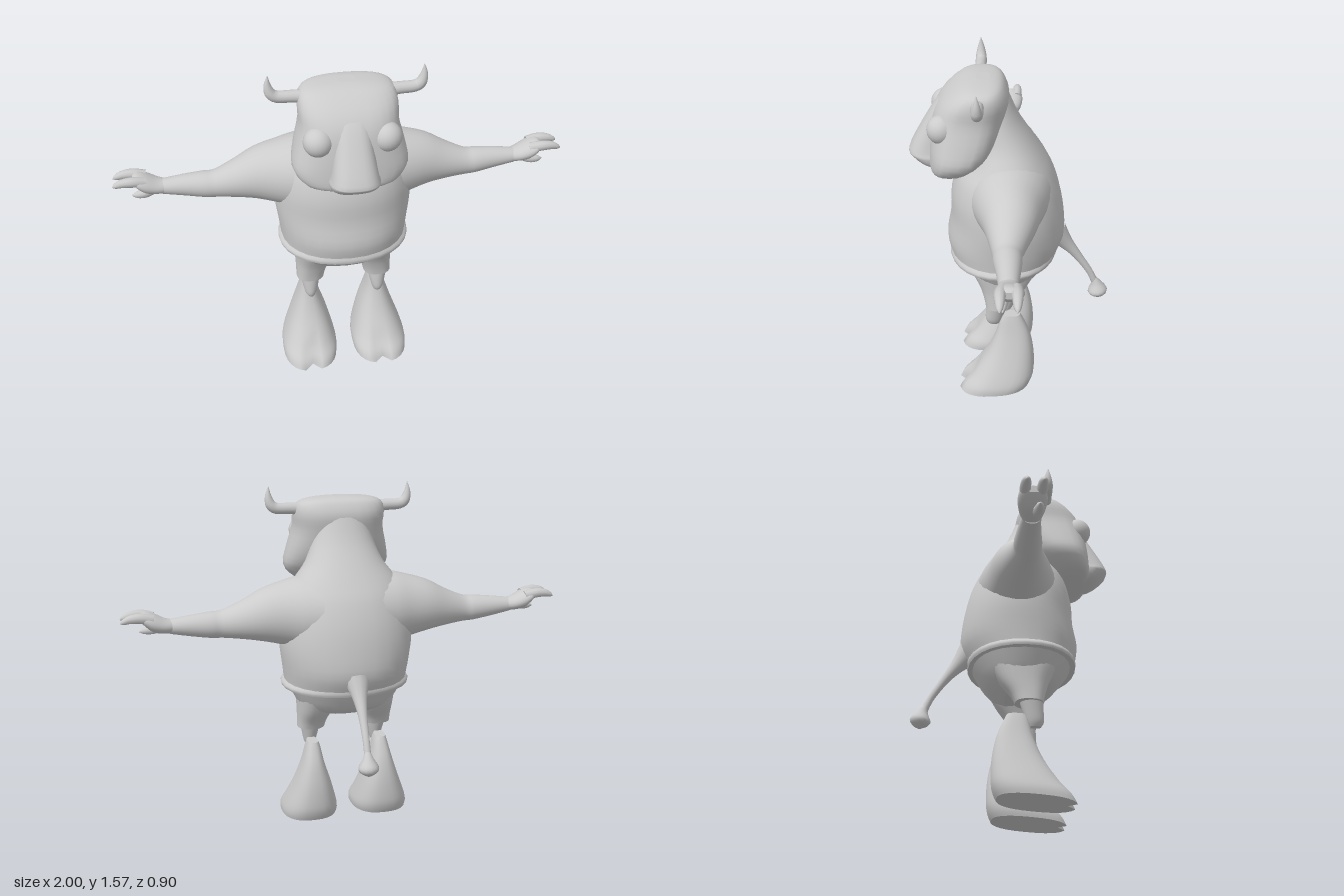
import * as THREE from 'three';

const material = new THREE.MeshStandardMaterial({ color: 0xcccccc, side: THREE.DoubleSide });
const SIDES = 28;

// Skin a stack of closed rings and close both ends with flat caps.
function skin(rings) {
  const pos = [], index = [], n = rings[0].length;
  const add = (p) => pos.push(p.x, p.y, p.z);
  rings.forEach((ring) => ring.forEach(add));
  for (let i = 0; i < rings.length - 1; i++) {
    for (let j = 0; j < n; j++) {
      const k = (j + 1) % n, a = i * n, b = a + n;
      index.push(a + j, b + j, b + k, a + j, b + k, a + k);
    }
  }
  [rings[0], rings[rings.length - 1]].forEach((ring, end) => {
    const start = pos.length / 3;
    ring.forEach(add);
    add(ring.reduce((s, p) => s.add(p), new THREE.Vector3()).divideScalar(n));
    for (let j = 0; j < n; j++) {
      const a = start + j, b = start + (j + 1) % n;
      if (end) index.push(start + n, b, a); else index.push(start + n, a, b);
    }
  });
  const g = new THREE.BufferGeometry();
  g.setAttribute('position', new THREE.Float32BufferAttribute(pos, 3));
  g.setIndex(index);
  g.computeVertexNormals();
  return g;
}

// Smoothly interpolate rows of numbers.
function refine(rows, steps) {
  const out = [];
  const at = (i) => rows[Math.max(0, Math.min(rows.length - 1, i))];
  for (let i = 0; i < rows.length - 1; i++) {
    for (let s = 0; s < steps; s++) {
      const t = s / steps;
      out.push(rows[i].map((b, c) => {
        const a = at(i - 1)[c], d = at(i + 1)[c], e = at(i + 2)[c];
        return b + 0.5 * t * (d - a + t * (2 * a - 5 * b + 4 * d - e + t * (3 * (b - d) + e - a)));
      }));
    }
  }
  out.push(rows[rows.length - 1]);
  return out;
}

// Rows are [height, min, max, zMin, zMax]; along 'y' min/max are x, along 'x' they are y.
function loft(rows, { axis = 'y', power = 2, steps = 3, shape = (p) => p } = {}) {
  const round = (v) => Math.sign(v) * Math.abs(v) ** (2 / power);
  return skin(refine(rows, steps).map(([h, a0, a1, z0, z1]) =>
    Array.from({ length: SIDES }, (_, j) => {
      const t = j / SIDES * Math.PI * 2, c = round(Math.cos(t)), s = round(Math.sin(t));
      const mid = (a0 + a1) / 2, half = (a1 - a0) / 2, zm = (z0 + z1) / 2, zh = (z1 - z0) / 2;
      return shape(axis === 'y'
        ? new THREE.Vector3(mid + half * c, h, zm + zh * s)
        : new THREE.Vector3(h, mid + half * s, zm + zh * c), t);
    })));
}

// Tube through rows of [x, y, z, radius].
function taper(rows, sides = 12, steps = 4) {
  const fine = refine(rows, steps);
  const curve = new THREE.CatmullRomCurve3(fine.map(([x, y, z]) => new THREE.Vector3(x, y, z)));
  const N = fine.length - 1;
  const frames = curve.computeFrenetFrames(N);
  const radii = refine(rows.map((r) => [r[3]]), steps);
  const lengths = curve.getLengths(N * 10);
  return skin(fine.map(([x, y, z], i) => {
    const u = lengths[i * 10] / lengths[N * 10];
    const k = Math.min(N, Math.round(u * N));
    return Array.from({ length: sides }, (_, j) => {
      const t = j / sides * Math.PI * 2;
      return new THREE.Vector3(x, y, z)
        .addScaledVector(frames.binormals[k], radii[i][0] * Math.cos(t))
        .addScaledVector(frames.normals[k], radii[i][0] * Math.sin(t));
    });
  }));
}

export function createModel() {
  const root = new THREE.Group();
  root.name = 'hornedCreature';
  const add = (name, geometry, parent = root) => {
    const mesh = new THREE.Mesh(geometry, material);
    mesh.name = name;
    parent.add(mesh);
    return mesh;
  };
  const sym = (rows) => rows.map(([y, x, z0, z1]) => [y, -x, x, z0, z1]);

  // Shirted torso rising into a hunched neck
  add('torso', loft(sym([
    [0.685, 0.288, -0.19, 0.287], [0.70, 0.283, -0.197, 0.287], [0.78, 0.292, -0.23, 0.302],
    [0.89, 0.305, -0.225, 0.283], [1.0, 0.30, -0.205, 0.278], [1.1, 0.275, -0.17, 0.25],
    [1.17, 0.235, -0.13, 0.20], [1.25, 0.175, -0.08, 0.18], [1.35, 0.135, -0.02, 0.19],
    [1.47, 0.10, 0.03, 0.16],
  ]), { power: 2.15 }));
  // Flared shirt hem
  add('shirtHem', loft(sym([
    [0.68, 0.294, -0.195, 0.292], [0.695, 0.297, -0.20, 0.294], [0.715, 0.28, -0.2, 0.288],
  ]), { power: 2.15 }));
  // Seat of the shorts
  add('shortsSeat', loft(sym([
    [0.54, 0.13, -0.03, 0.11], [0.56, 0.19, -0.07, 0.15], [0.60, 0.225, -0.125, 0.205],
    [0.69, 0.272, -0.18, 0.275],
  ]), { power: 2.2 }));

  // Head
  add('head', loft(sym([
    [1.122, 0.13, 0.22, 0.34], [1.14, 0.195, 0.18, 0.365], [1.20, 0.243, 0.11, 0.365],
    [1.28, 0.232, 0.06, 0.36], [1.38, 0.207, 0.03, 0.345], [1.45, 0.207, 0.02, 0.305],
    [1.50, 0.19, 0.04, 0.245], [1.52, 0.13, 0.065, 0.20], [1.527, 0.04, 0.10, 0.16],
  ]), { power: 2.6 }));
  // Long muzzle ridge
  add('muzzle', loft(sym([
    [1.122, 0.06, 0.26, 0.345], [1.14, 0.095, 0.25, 0.40], [1.18, 0.107, 0.25, 0.447],
    [1.21, 0.098, 0.25, 0.453], [1.33, 0.08, 0.22, 0.388], [1.42, 0.07, 0.20, 0.33],
    [1.47, 0.05, 0.18, 0.275],
  ]), { power: 2.7 }));
  // Tail with a tuft
  add('tail', taper([
    [0, 0.76, -0.19, 0.06], [0, 0.70, -0.24, 0.035], [0, 0.63, -0.295, 0.021],
    [0, 0.54, -0.355, 0.016], [0, 0.475, -0.385, 0.016],
  ]));
  add('tailTuft', taper([
    [0, 0.495, -0.38, 0.013], [0, 0.465, -0.392, 0.026], [0, 0.43, -0.40, 0.046],
    [0, 0.408, -0.403, 0.036], [0, 0.39, -0.404, 0.006],
  ]));

  // Everything paired, built on the left and mirrored
  const left = new THREE.Group();
  left.name = 'leftSide';
  root.add(left);

  const eye = add('eye', new THREE.SphereGeometry(0.063, 20, 14), left);
  eye.position.set(0.14, 1.345, 0.303);
  add('horn', taper([
    [0.15, 1.47, 0.15, 0.03], [0.22, 1.474, 0.148, 0.026], [0.285, 1.477, 0.147, 0.025],
    [0.312, 1.497, 0.147, 0.023], [0.321, 1.535, 0.147, 0.014], [0.319, 1.575, 0.148, 0.001],
  ]), left);

  // Sloping shoulder and arm down to the palm
  add('arm', loft([
    [0.08, 0.87, 1.20, -0.175, 0.21], [0.2, 0.865, 1.195, -0.15, 0.19],
    [0.28, 0.885, 1.178, -0.125, 0.165], [0.38, 0.91, 1.148, -0.10, 0.13],
    [0.47, 0.925, 1.10, -0.068, 0.105], [0.56, 0.935, 1.06, -0.037, 0.086],
    [0.61, 0.938, 1.056, -0.036, 0.082], [0.70, 0.953, 1.047, -0.028, 0.068],
    [0.79, 0.97, 1.035, -0.018, 0.058],
  ], { axis: 'x' }), left);
  add('palm', loft([
    [0.77, 0.975, 1.032, -0.015, 0.055], [0.81, 0.975, 1.042, -0.032, 0.066],
    [0.86, 0.985, 1.068, -0.043, 0.075], [0.895, 1.015, 1.075, -0.038, 0.07],
    [0.912, 1.035, 1.065, -0.02, 0.05],
  ], { axis: 'x' }), left);
  [-0.016, 0.05].forEach((z, i) => add(i ? 'frontFinger' : 'rearFinger', taper([
    [0.86, 1.045, z * 0.8, 0.024], [0.91, 1.056, z, 0.023], [0.955, 1.054, z, 0.019],
    [0.985, 1.044, z, 0.012], [0.999, 1.038, z, 0.002],
  ], 10), left));
  add('thumb', taper([
    [0.83, 1.0, 0.03, 0.023], [0.865, 0.988, 0.04, 0.021], [0.9, 0.984, 0.042, 0.015],
    [0.922, 0.982, 0.04, 0.002],
  ], 10), left);

  // Shorts leg, bare shin and cloven hoof
  add('shortsLeg', loft([
    [0.46, 0.095, 0.223, 0.005, 0.13], [0.50, 0.085, 0.223, -0.015, 0.137],
    [0.56, 0.06, 0.225, -0.06, 0.155], [0.63, 0.03, 0.23, -0.10, 0.19],
  ], { power: 2.4 }), left);
  add('shin', loft([
    [0.352, 0.142, 0.176, 0.065, 0.118], [0.375, 0.133, 0.188, 0.055, 0.13],
    [0.42, 0.122, 0.198, 0.04, 0.13], [0.48, 0.112, 0.21, 0.02, 0.127],
  ]), left);
  add('hoof', loft([
    [0.018, 0.043, 0.303, -0.075, 0.262], [0.05, 0.04, 0.303, -0.088, 0.242],
    [0.10, 0.052, 0.287, -0.097, 0.19], [0.20, 0.08, 0.25, -0.094, 0.125],
    [0.30, 0.112, 0.217, -0.075, 0.083], [0.375, 0.128, 0.197, -0.045, 0.064],
    [0.405, 0.138, 0.188, -0.03, 0.052],
  ], {
    power: 2.5,
    shape: (p, t) => {
      // Cleft in the toe, fading upwards, and a sole raised at the heel
      const fade = Math.max(0, 1 - p.y / 0.15);
      if (Math.abs(t - Math.PI / 2) < 0.1) p.z -= 0.045 * fade;
      p.y -= p.z * 0.09 * Math.max(0, 1 - p.y / 0.12) - 0.006 * fade;
      return p;
    },
  }), left);

  const right = left.clone();
  right.name = 'rightSide';
  right.scale.x = -1;
  root.add(right);
  return root;
}
